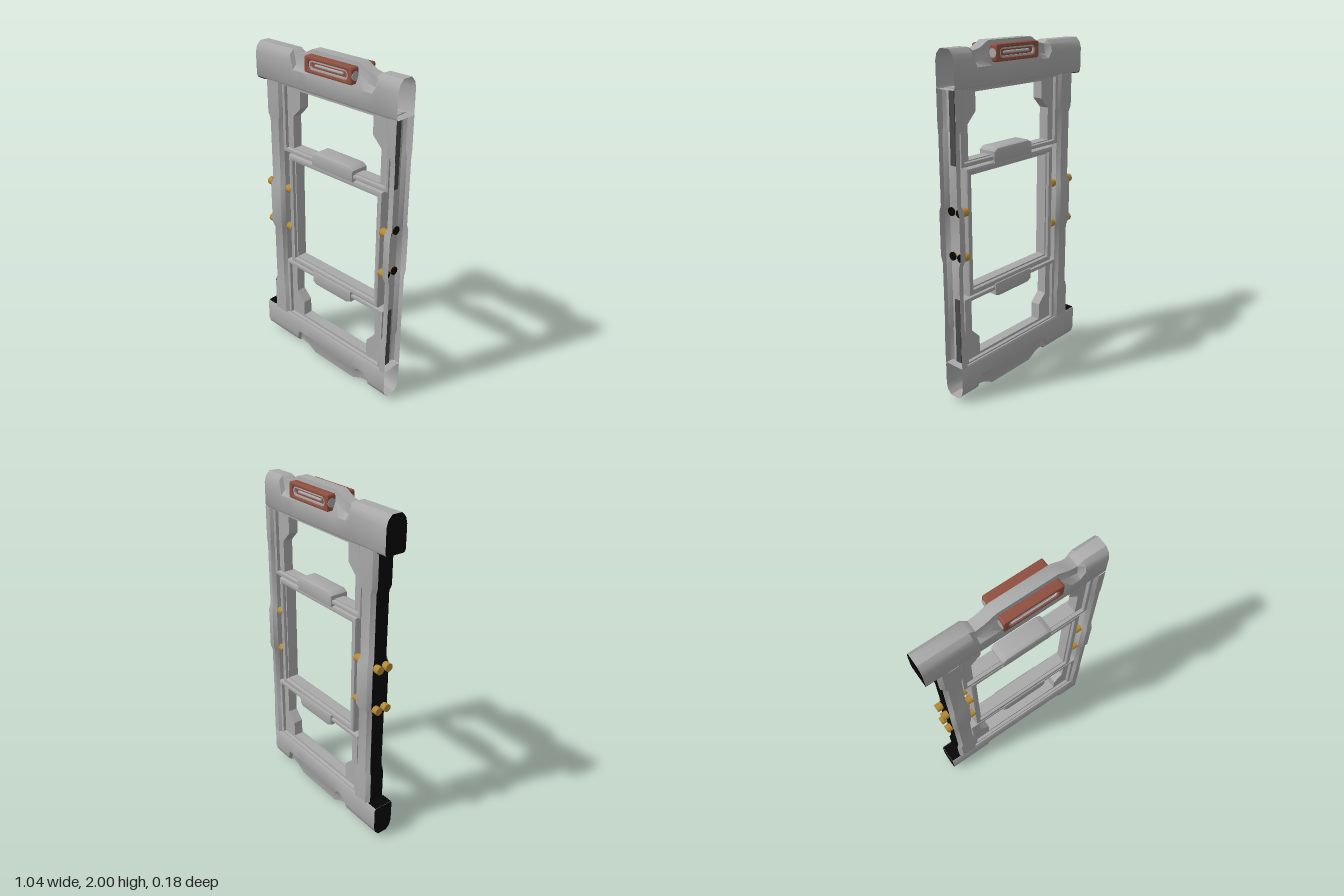
import * as THREE from 'three';
import { toCreasedNormals } from 'three/addons/utils/BufferGeometryUtils.js';

const MID = 0.07; // symmetry axis of the bay; the right post is cut open at x = END
const END = 0.52;

const mat = (name, color, side = THREE.DoubleSide) => {
  const m = new THREE.MeshStandardMaterial({ color, side });
  m.name = name;
  return m;
};

export function createModel() {
  const steel = mat('steel grey', 0xa9a9a9);
  const dark = mat('dark grey', 0x4a4a4a);
  const black = mat('black', 0x060606);
  const brown = mat('grip brown', 0x8f5040);
  const brass = mat('brass', 0xb58a35);
  const root = new THREE.Group();
  root.name = 'frame';

  const add = (parent, name, geo, material, x = 0, y = 0, z = 0) => {
    const m = new THREE.Mesh(geo, material);
    m.name = name;
    m.position.set(x, y, z);
    parent.add(m);
    return m;
  };

  // Skin between matching rings of [x, y, z] points
  const loft = (rings, closed = true) => {
    const n = rings[0].length, idx = [];
    for (let i = 0; i < rings.length - 1; i++) {
      for (let j = 0; j < (closed ? n : n - 1); j++) {
        const a = i * n + j, b = i * n + (j + 1) % n;
        idx.push(a, b, a + n, b, b + n, a + n);
      }
    }
    const g = new THREE.BufferGeometry();
    g.setAttribute('position', new THREE.Float32BufferAttribute(rings.flat(2), 3));
    g.setIndex(idx);
    return toCreasedNormals(g, 0.6);
  };

  // Flat convex face over a ring
  const fan = (ring) => {
    const g = new THREE.BufferGeometry(), idx = [];
    for (let i = 1; i < ring.length - 1; i++) idx.push(0, i, i + 1);
    g.setAttribute('position', new THREE.Float32BufferAttribute(ring.flat(), 3));
    g.setIndex(idx);
    g.computeVertexNormals();
    return g;
  };

  const outline = (pts) => new THREE.Shape(pts.map((p) => new THREE.Vector2(...p)));
  const rect = (x0, y0, x1, y1) => [[x0, y0], [x1, y0], [x1, y1], [x0, y1]];

  // Extrusion centred on z = 0, outline kept as the outer size
  const plate = (pts, hole, half, bevel = 0) => {
    const s = outline(pts);
    if (hole) s.holes.push(outline(hole));
    const g = new THREE.ExtrudeGeometry(s, {
      depth: 2 * (half - bevel), bevelEnabled: bevel > 0, bevelSize: bevel,
      bevelThickness: bevel, bevelOffset: -bevel, bevelSegments: 2,
    });
    g.translate(0, 0, bevel - half);
    return toCreasedNormals(g, 0.6);
  };

  const stadium = (w, h, r) => {
    const s = new THREE.Shape(), x = w / 2, y = h / 2;
    s.moveTo(-x + r, -y).lineTo(x - r, -y).absarc(x - r, -y + r, r, -Math.PI / 2, 0)
      .lineTo(x, y - r).absarc(x - r, y - r, r, 0, Math.PI / 2)
      .lineTo(-x + r, y).absarc(-x + r, y - r, r, Math.PI / 2, Math.PI)
      .lineTo(-x, -y + r).absarc(-x + r, -y + r, r, Math.PI, Math.PI * 1.5);
    return s.getPoints(5).slice(0, -1).map((p) => [p.x, p.y]);
  };

  // Beam cross-section: half profile [z, height above the opening]
  const beamRing = (x, half) => {
    const all = [...half, ...half.slice().reverse().map(([z, h]) => [-z, h])];
    return all.map(([z, h]) => [x, 1.775 + h, z]);
  };
  const full = [[0.058, 0], [0.065, 0.012], [0.065, 0.14], [0.055, 0.175], [0.03, 0.2]];
  const scoop = (top) => [[0.058, 0], [0.065, 0.012], [0.065, 0.1], [0.038, top - 0.055], [0.032, top]];

  // Top and bottom halves are mirror copies
  for (const dir of [1, -1]) {
    const half = new THREE.Group();
    half.name = dir > 0 ? 'upperHalf' : 'lowerHalf';
    half.scale.y = dir;
    half.position.y = dir > 0 ? 0 : 2;
    root.add(half);

    const stations = [[-0.52, full], [-0.245, full], [-0.215, scoop(0.18)], [-0.165, scoop(0.19)],
      [-0.1, scoop(0.225)], [0.24, scoop(0.225)], [0.305, scoop(0.19)], [0.355, scoop(0.18)],
      [0.385, full], [END, full]];
    add(half, 'crossBeam', loft(stations.map(([x, p]) => beamRing(x, p))), steel);
    add(half, 'beamEndCap', fan(beamRing(-0.52, full)), black);
    add(half, 'flangeUnderside', new THREE.BoxGeometry(0.065, 0.006, 0.114), black, -0.486, 1.774, 0);

    // Thin gusset panel with chamfered corners around the small opening
    add(half, 'gussetPanel', plate(rect(-0.33, 1.375, 0.47, 1.78),
      [[-0.26, 1.4], [0.4, 1.4], [0.4, 1.59], [0.34, 1.65], [0.34, 1.75], [-0.2, 1.75], [-0.2, 1.65], [-0.26, 1.59]],
      0.03), steel);
    add(half, 'openingRim', plate(rect(-0.33, 1.372, 0.47, 1.78),
      rect(-0.305, 1.395, 0.445, 1.765), 0.05, 0.006), steel);
    add(half, 'clip', plate([[-0.09, 1.35], [0.23, 1.35], [0.23, 1.42], [0.2, 1.438], [-0.06, 1.438], [-0.09, 1.42]],
      null, 0.06, 0.016), steel);
    add(half, 'sideSlot', new THREE.BoxGeometry(0.006, 0.39, 0.036), dark, 0.478, 1.575, 0);
  }

  // Posts: [y, outer x, inner x, half depth]
  const upper = [[1.005, -0.447, -0.322, 0.075], [1.125, -0.447, -0.322, 0.075], [1.165, -0.44, -0.332, 0.062],
    [1.55, -0.44, -0.332, 0.062], [1.585, -0.453, -0.32, 0.066], [1.78, -0.453, -0.32, 0.066]];
  const post = [...upper.slice(1).reverse().map(([y, ...r]) => [2 - y, ...r]), ...upper.slice(1)];
  const c = 0.02;
  add(root, 'rightPost', loft(post.map(([y, o, i, z]) => [
    [o, y, -z + c], [o + c, y, -z], [i - c, y, -z], [i, y, -z + c],
    [i, y, z - c], [i - c, y, z], [o + c, y, z], [o, y, z - c]])), steel);
  add(root, 'rightPostOuterFace', loft(post.map(([y, o, , z]) =>
    [[o - 0.002, y, -z + c], [o - 0.002, y, z - c]]), false), black);
  add(root, 'leftPost', loft(post.map(([y, , i, z]) => {
    const x = 2 * MID - i;
    return [[END, y, -z], [x + c, y, -z], [x, y, -z + c], [x, y, z - c], [x + c, y, z], [END, y, z]];
  }), false), steel);

  // Central window frame with a stepped inner lip
  add(root, 'windowFrame', plate(rect(-0.29, 0.635, 0.43, 1.36), rect(-0.256, 0.669, 0.396, 1.326), 0.05, 0.012), steel);
  add(root, 'windowLip', plate(rect(-0.27, 0.655, 0.41, 1.34), rect(-0.247, 0.678, 0.387, 1.317), 0.03), steel);

  // Brass bolts, in front and back pairs
  const boltGeo = (len) => new THREE.CylinderGeometry(0.024, 0.024, len, 12).rotateZ(Math.PI / 2);
  for (const y of [0.87, 1.125]) {
    for (const z of [-0.03, 0.03]) {
      for (const [x, len] of [[-0.46, 0.045], [-0.304, 0.04], [0.444, 0.04]]) {
        add(root, 'bolt', boltGeo(len), brass, x, y, z);
      }
      add(root, 'boltSocket', boltGeo(0.008), black, 0.474, y, z);
    }
  }

  // Grips on both faces of the top beam
  for (const dir of [1, -1]) {
    const grip = new THREE.Group();
    grip.name = 'grip';
    grip.position.set(MID, 1.937, dir * 0.062);
    root.add(grip);
    add(grip, 'gripFrame', plate(stadium(0.34, 0.09, 0.012), stadium(0.28, 0.05, 0.024), 0.027, 0.008), brown);
    add(grip, 'gripRing', plate(stadium(0.284, 0.054, 0.026), stadium(0.262, 0.034, 0.016), 0.02), steel);
    add(grip, 'gripBack', plate(stadium(0.27, 0.044, 0.02), null, 0.01), brown);
    add(grip, 'gripBar', new THREE.CapsuleGeometry(0.008, 0.19, 3, 8).rotateZ(Math.PI / 2), steel, 0, 0, dir * 0.012);
    for (const s of [-1, 1]) {
      add(grip, 'gripEnd', new THREE.CylinderGeometry(0.024, 0.024, 0.006, 14).rotateZ(Math.PI / 2), steel, s * 0.169, 0, 0);
    }
  }
  return root;
}
